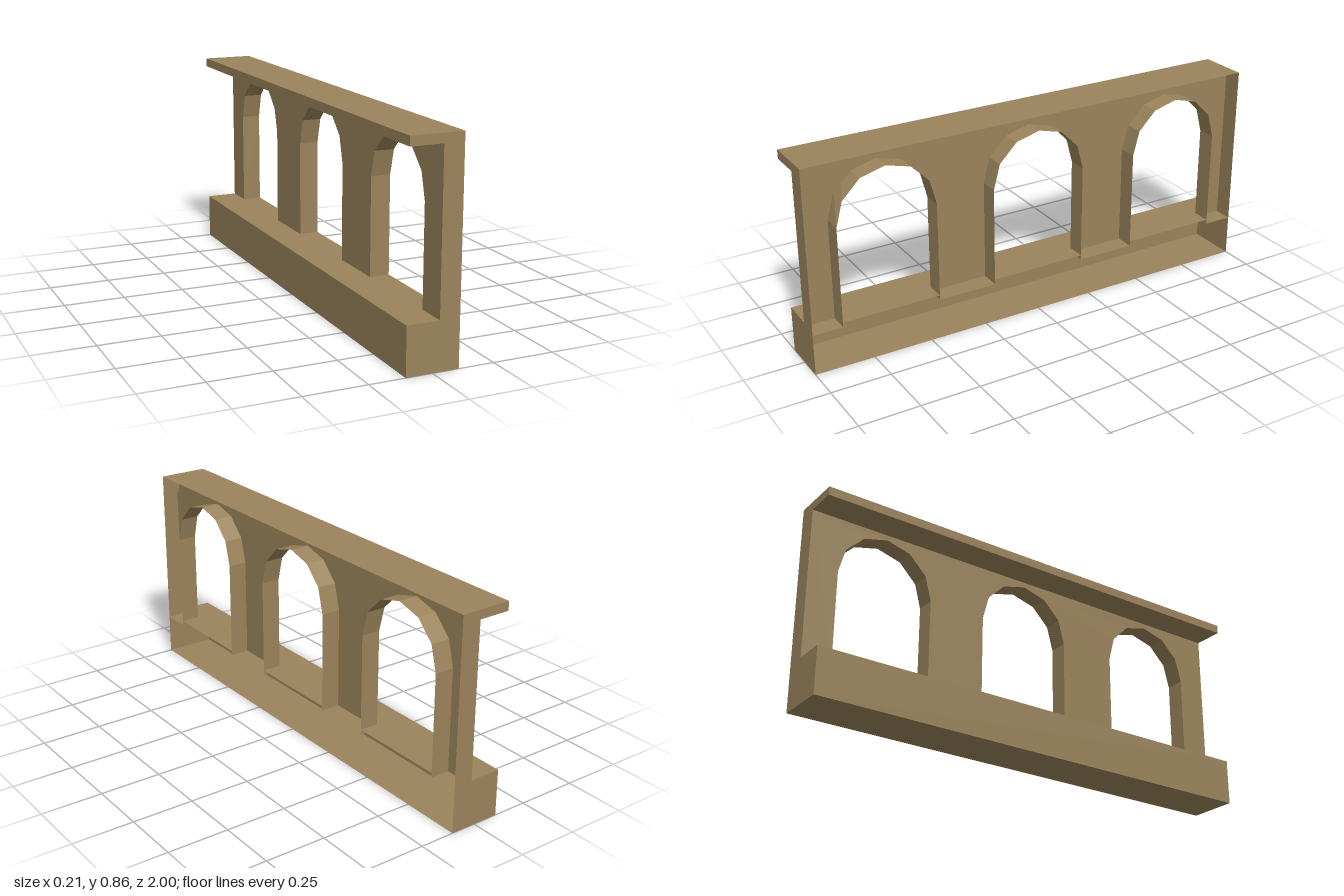
import * as THREE from 'three';

const HALF = 0.106, INNER = 0.025;            // outer x, recessed wall x
const BASE = 0.192, FOOT = 0.172, EAVE = 0.82, TOP = 0.857;
const R = 0.208, SPRING = 0.59;               // arch radius and springing height
const CENTRES = [-0.667, 0, 0.667];

// Sweep an open (u, v) path along w; faces look to the left of the path.
function sweep(path, w0, w1) {
  const pos = [];
  for (let i = 0; i < path.length - 1; i++) {
    const [u0, v0] = path[i], [u1, v1] = path[i + 1];
    pos.push(u0, v0, w0, u0, v0, w1, u1, v1, w1);
    pos.push(u0, v0, w0, u1, v1, w1, u1, v1, w0);
  }
  const g = new THREE.BufferGeometry();
  g.setAttribute('position', new THREE.Float32BufferAttribute(pos, 3));
  g.computeVertexNormals();
  return g;
}

function flat(points) {
  return new THREE.ShapeGeometry(new THREE.Shape(points.map(([x, y]) => new THREE.Vector2(x, y))));
}

// Arch outline in (z, y), from the +z foot over the crown to the -z foot.
function archPath(c) {
  const pts = [[c + R, FOOT]];
  for (let i = 0; i <= 6; i++) {
    const a = (i * Math.PI) / 6;
    pts.push([c + R * Math.cos(a), SPRING + R * Math.sin(a)]);
  }
  pts.push([c - R, FOOT]);
  return pts;
}

export function createModel() {
  const group = new THREE.Group();
  const stone = new THREE.MeshStandardMaterial({ color: 0x9b845c, side: THREE.DoubleSide });
  stone.name = 'sandstone';
  const add = (name, geometry) => {
    const mesh = new THREE.Mesh(geometry, stone);
    mesh.name = name;
    group.add(mesh);
  };

  // Long shells, open towards +x
  const basePath = [[HALF, 0], [-HALF, 0], [-HALF, BASE], [INNER, BASE]];
  const roofPath = [[INNER, EAVE], [-HALF, EAVE], [-HALF, TOP], [HALF, TOP]];
  add('base', sweep(basePath, -1, 1));
  add('topSlab', sweep(roofPath, -1, 1));

  // C-shaped end caps
  const profile = [...basePath, ...roofPath];
  add('frontEnd', flat(profile).translate(0, 0, 1));
  add('backEnd', flat(profile.map(([x, y]) => [-x, y])).rotateY(Math.PI).translate(0, 0, -1));

  // Recessed wall with three arched openings
  const outline = [[-1, FOOT], [-1, EAVE], [1, EAVE], [1, FOOT]];
  for (const c of [...CENTRES].reverse()) outline.push(...archPath(c));
  add('archWall', flat(outline).rotateY(-Math.PI / 2).translate(INNER, 0, 0));

  // Arch linings and the sills between their feet
  for (const c of CENTRES) {
    add('archLining', sweep(archPath(c), -HALF, -INNER).rotateY(-Math.PI / 2));
    add('sill', sweep([[INNER, BASE], [HALF, BASE]], c - R, c + R));
  }

  // Undersides of the pillars
  const edges = [-1, ...CENTRES.flatMap((c) => [c - R, c + R]), 1];
  for (let i = 0; i < edges.length; i += 2) {
    add('pillarFoot', sweep([[HALF, FOOT], [INNER, FOOT]], edges[i], edges[i + 1]));
  }

  // Narrow face strip above the shoulder of the front arch
  const z0 = CENTRES[2] + R, z1 = CENTRES[2] + R * Math.cos(Math.PI / 6);
  const strip = [[-z0, SPRING], [-z1, SPRING + R / 2], [-z1, EAVE], [-z0, EAVE]];
  add('faceStrip', flat(strip).rotateY(Math.PI / 2).translate(HALF, 0, 0));

  return group;
}
